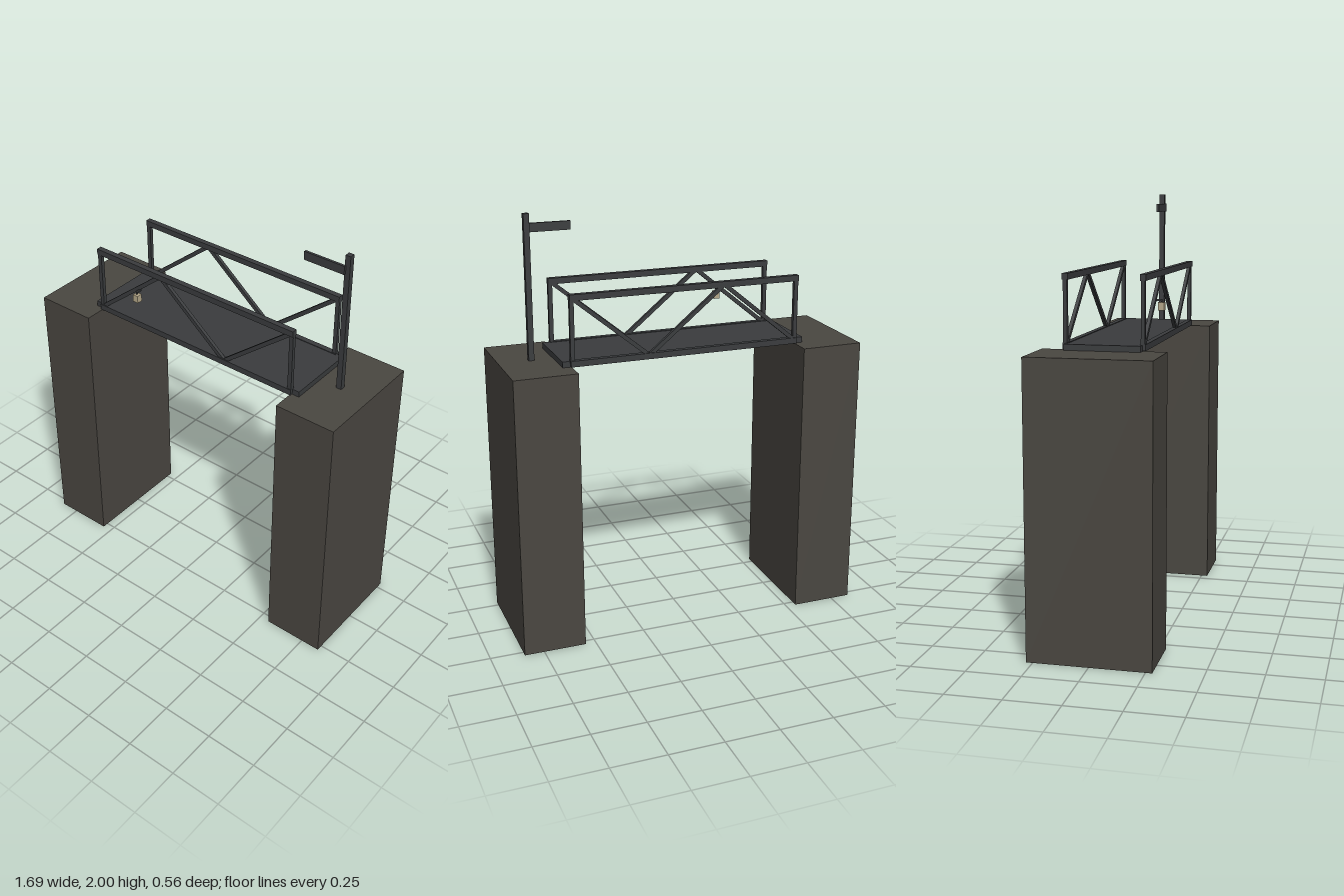
import * as THREE from 'three';

export function createModel() {
  const model = new THREE.Group();
  const stone = new THREE.MeshStandardMaterial({ color: 0x4a4741 });
  const iron = new THREE.MeshStandardMaterial({ color: 0x3a3c3e });
  const glass = new THREE.MeshStandardMaterial({ color: 0xb5a88a });

  function box(parent, name, size, pos, material = iron) {
    const mesh = new THREE.Mesh(new THREE.BoxGeometry(...size), material);
    mesh.name = name;
    mesh.position.set(...pos);
    parent.add(mesh);
    return mesh;
  }

  // Square bar between two points in the xy plane
  function brace(parent, name, [x1, y1], [x2, y2], thick) {
    const length = Math.hypot(x2 - x1, y2 - y1);
    const bar = box(parent, name, [length, thick, 0.016], [(x1 + x2) / 2, (y1 + y2) / 2, 0]);
    bar.rotation.z = Math.atan2(y2 - y1, x2 - x1);
  }

  // Stone piers and the walkway resting on them
  for (const [side, s] of [['left', 1], ['right', -1]]) {
    box(model, side + 'Pier', [0.295, 1.334, 0.56], [s * 0.696, 0.667, 0], stone);
  }
  box(model, 'deck', [1.18, 0.027, 0.342], [0, 1.3475, 0]);

  // Truss railings along both edges
  const nodes = [[-0.545, 1.352], [-0.182, 1.65], [0.182, 1.352], [0.545, 1.65]];
  for (const [side, s] of [['front', 1], ['back', -1]]) {
    const truss = new THREE.Group();
    truss.name = side + 'Truss';
    truss.position.z = s * 0.173;
    box(truss, 'topChord', [1.11, 0.028, 0.026], [0, 1.651, 0]);
    box(truss, 'bottomChord', [1.11, 0.028, 0.026], [0, 1.35, 0]);
    for (const x of [-0.545, 0.545]) {
      box(truss, 'endPost', [0.02, 0.3, 0.018], [x, 1.5, 0]);
    }
    for (let i = 0; i < 3; i++) brace(truss, 'diagonal', nodes[i], nodes[i + 1], 0.019);
    model.add(truss);
  }

  // Signpost with a thin board
  const sign = new THREE.Group();
  sign.name = 'signpost';
  box(sign, 'pole', [0.026, 0.667, 0.026], [0.69, 1.6665, 0]);
  box(sign, 'signBoard', [0.2, 0.04, 0.012], [0.583, 1.933, 0.018]);
  model.add(sign);

  // Small lantern hung outside the front truss
  const lantern = new THREE.Group();
  lantern.name = 'lantern';
  box(lantern, 'bracket', [0.01, 0.008, 0.03], [-0.302, 1.536, 0.19]);
  box(lantern, 'hanger', [0.006, 0.014, 0.006], [-0.302, 1.531, 0.203]);
  box(lantern, 'lamp', [0.028, 0.036, 0.028], [-0.3, 1.508, 0.203], glass);
  model.add(lantern);

  return model;
}
